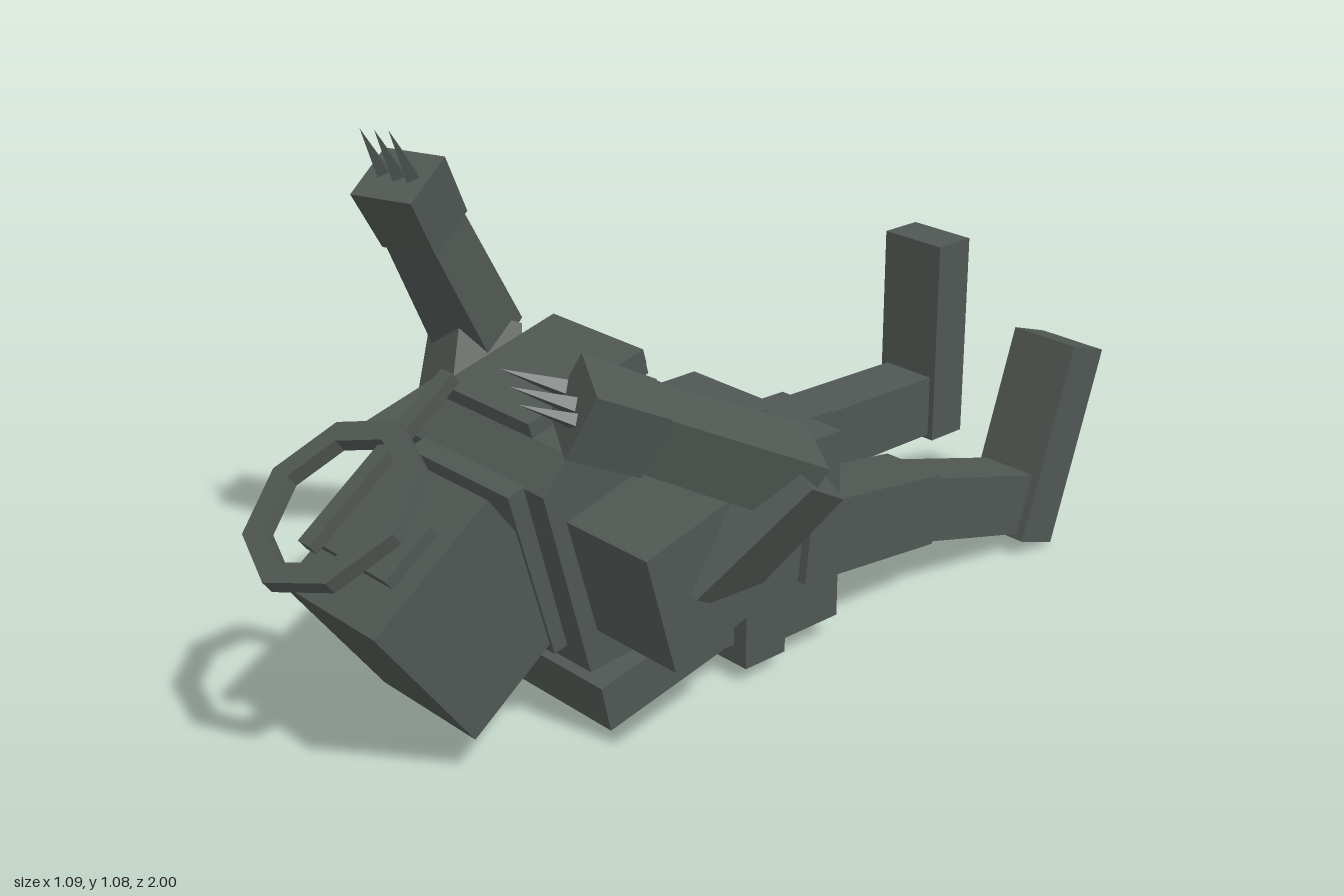
import * as THREE from 'three';

const stone = new THREE.MeshStandardMaterial({ color: 0x505753 });
stone.name = 'darkStone';
const V = (x, y, z) => new THREE.Vector3(x, y, z);

export function createModel() {
  const root = new THREE.Group();
  root.name = 'flyingFigure';

  function add(name, geo, parent = root) {
    const m = new THREE.Mesh(geo, stone);
    m.name = name;
    parent.add(m);
    return m;
  }

  // box with an optional tilt about x
  function box(name, [w, h, d], [x, y, z], rx = 0, parent = root) {
    const m = add(name, new THREE.BoxGeometry(w, h, d), parent);
    m.position.set(x, y, z);
    m.rotation.x = rx;
    return m;
  }

  // orient a y-aligned mesh from a to b, its width following the hint
  function aim(m, a, b, hint) {
    const up = b.clone().sub(a).normalize();
    const side = hint.clone().addScaledVector(up, -hint.dot(up)).normalize();
    const front = side.clone().cross(up);
    m.quaternion.setFromRotationMatrix(new THREE.Matrix4().makeBasis(side, up, front));
    m.position.copy(a).lerp(b, 0.5);
  }

  // box limb tapering from a to b
  function limb(name, a, b, [w0, d0], [w1, d1], hint = V(1, 0, 0)) {
    const g = new THREE.BoxGeometry(1, a.distanceTo(b), 1);
    const p = g.attributes.position;
    for (let i = 0; i < p.count; i++) {
      const top = p.getY(i) > 0;
      p.setX(i, p.getX(i) * (top ? w1 : w0));
      p.setZ(i, p.getZ(i) * (top ? d1 : d0));
    }
    const flat = g.toNonIndexed();
    flat.computeVertexNormals();
    const m = add(name, flat);
    aim(m, a, b, hint);
  }

  // chest: side profile (z, y) extruded across x
  const profile = [[0.55, 0.555], [0.49, 0.62], [0.24, 0.68], [0.12, 0.53], [0.1, 0.2], [0.45, 0.17]];
  const chest = new THREE.ExtrudeGeometry(
    new THREE.Shape(profile.map(([z, y]) => new THREE.Vector2(-z, y))),
    { depth: 0.41, bevelEnabled: false });
  chest.translate(0, 0, -0.205).rotateY(Math.PI / 2);
  add('chest', chest);
  box('backPlate', [0.26, 0.03, 0.28], [0, 0.685, 0.38], 0.26);
  box('backStrip', [0.17, 0.03, 0.05], [0, 0.67, 0.225], 0.26);
  box('collar', [0.3, 0.36, 0.12], [0, 0.39, 0.48], 0.27);

  // waist, belt and hips
  box('waist', [0.39, 0.44, 0.2], [0, 0.305, 0.12]);
  box('belt', [0.46, 0.445, 0.107], [0, 0.267, 0.022]);
  box('hips', [0.43, 0.41, 0.17], [0, 0.268, -0.11]);
  box('hipPlate', [0.17, 0.03, 0.085], [0, 0.485, -0.073]);
  box('bellyArmor', [0.39, 0.1, 0.34], [0, 0.105, 0.24], 0.22);
  box('bellyPlate', [0.155, 0.02, 0.28], [0, 0.05, 0.24], 0.22);

  // head with brow plate, halo ring and its support
  const head = new THREE.Group();
  head.name = 'headGroup';
  head.position.set(0, 0.322, 0.649);
  head.rotation.x = 0.634;
  root.add(head);
  box('head', [0.285, 0.346, 0.314], [0, 0, 0], 0, head);
  box('headPlate', [0.22, 0.025, 0.125], [0, 0.196, 0.004], 0, head);
  const octagon = r => Array.from({ length: 8 }, (_, i) =>
    new THREE.Vector2(r * Math.cos(i * Math.PI / 4), r * Math.sin(i * Math.PI / 4)));
  const ringShape = new THREE.Shape(octagon(0.183));
  ringShape.holes.push(new THREE.Path(octagon(0.138)));
  const ring = new THREE.ExtrudeGeometry(ringShape, { depth: 0.03, bevelEnabled: false });
  ring.translate(0, 0, -0.015).rotateX(-Math.PI / 2);
  add('haloRing', ring, head).position.set(0, 0.312, 0.014);
  box('haloSupport', [0.034, 0.025, 0.395], [0, 0.3, -0.097], 0, head);

  // arms
  const arms = [
    { side: 'right', s: -1, elbow: V(-0.45, 0.59, 0.19), end: V(-0.392, 0.985, 0.41),
      hint: V(0.95, 0, -0.3), spread: V(0.04, 0.005, -0.005) },
    { side: 'left', s: 1, elbow: V(0.46, 0.57, 0.165), end: V(0.288, 0.755, 0.545),
      hint: V(0.85, -0.2, 0.45), spread: V(0.03, -0.022, 0.005) },
  ];
  for (const { side, s, elbow, end, hint, spread } of arms) {
    box(side + 'Shoulder', [0.22, 0.25, 0.25], [s * 0.31, 0.405, 0.345], 0.27);
    limb(side + 'UpperArm', V(s * 0.34, 0.39, 0.32), elbow.clone().add(V(s * 0.01, 0.02, 0)),
      [0.17, 0.17], [0.14, 0.14], V(1, 0, -s * 0.3));
    const wrist = elbow.clone().lerp(end, 0.68);
    limb(side + 'Forearm', elbow, wrist, [0.145, 0.125], [0.12, 0.115], hint);
    limb(side + 'Hand', wrist, end, [0.13, 0.125], [0.145, 0.13], hint);
    const dir = end.clone().sub(elbow).normalize();
    for (let i = -1; i <= 1; i++) {
      const base = end.clone().addScaledVector(spread, i);
      const tip = base.clone().addScaledVector(dir, 0.12);
      const claw = add(side + 'Claw', new THREE.ConeGeometry(0.018, 0.12, 4).toNonIndexed());
      claw.geometry.computeVertexNormals();
      aim(claw, base, tip, hint);
    }
  }

  // left leg, bent downwards
  limb('leftThigh', V(0.153, 0.262, -0.09), V(0.15, 0.213, -0.48), [0.165, 0.168], [0.15, 0.155]);
  limb('leftShin', V(0.152, 0.212, -0.47), V(0.152, 0.113, -0.83), [0.135, 0.14], [0.13, 0.135]);
  box('leftFoot', [0.165, 0.447, 0.106], [0.155, 0.245, -0.88], -0.318);

  // right leg, held level
  limb('rightThigh', V(-0.16, 0.262, -0.09), V(-0.16, 0.265, -0.48), [0.16, 0.168], [0.15, 0.155]);
  limb('rightShin', V(-0.155, 0.264, -0.47), V(-0.155, 0.26, -0.83), [0.135, 0.145], [0.13, 0.14]);
  box('rightFoot', [0.162, 0.465, 0.098], [-0.157, 0.412, -0.855]);

  return root;
}
